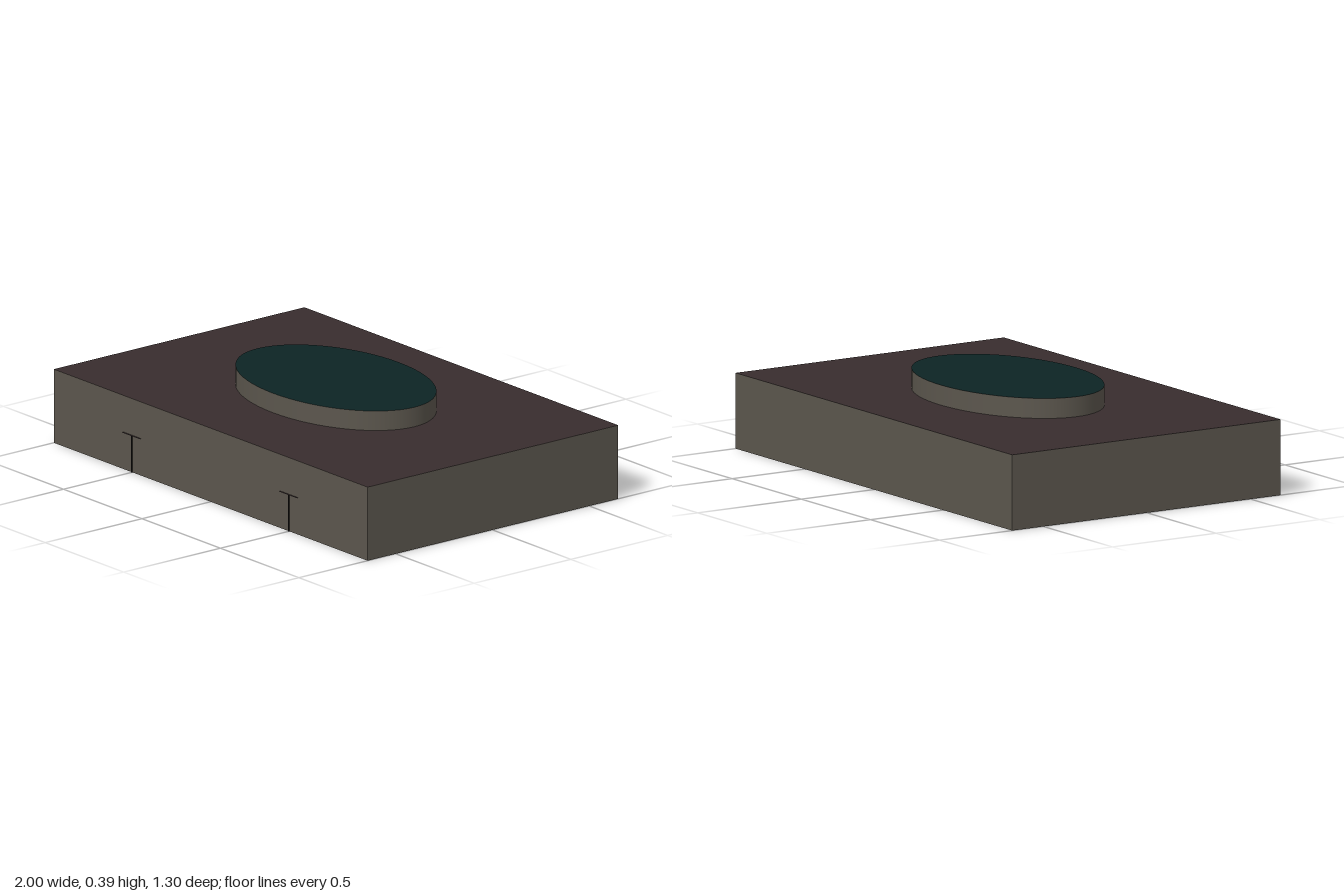
import * as THREE from 'three';

export function createModel() {
  const model = new THREE.Group();
  const wall = new THREE.MeshStandardMaterial({ name: 'wall stone', color: 0x5b564d });
  const roof = new THREE.MeshStandardMaterial({ name: 'roof brown', color: 0x382d2e });
  const glass = new THREE.MeshStandardMaterial({ name: 'dark teal glass', color: 0x0d2424 });
  const trim = new THREE.MeshStandardMaterial({ name: 'dark trim', color: 0x1c1a19 });

  const add = (name, geometry, material, x, y, z) => {
    const mesh = new THREE.Mesh(geometry, material);
    mesh.name = name;
    mesh.position.set(x, y, z);
    model.add(mesh);
    return mesh;
  };

  const height = 0.31, depth = 1.295, centreZ = -0.0025;
  const frontZ = centreZ + depth / 2;

  // Main block: stone sides and underside, brown flat roof
  add('mainBlock', new THREE.BoxGeometry(2, height, depth),
    [wall, wall, roof, wall, wall, wall], 0, height / 2, centreZ);

  // Low oval drum with a glazed top
  const drumHeight = 0.082;
  const drum = new THREE.CylinderGeometry(0.5, 0.5, drumHeight, 64);
  drum.scale(1, 1, 0.65);
  add('ovalSkylight', drum, [wall, glass, wall], 0, height + drumHeight / 2, centreZ);

  // Entrances: a hairline canopy and a centre fin standing just proud of the front
  const proud = 0.005, doorHeight = 0.155;
  for (const x of [-0.5, 0.5]) {
    add('entranceCanopy', new THREE.BoxGeometry(0.11, 0.002, proud), roof,
      x, doorHeight, frontZ + proud / 2);
    add('entranceFin', new THREE.BoxGeometry(0.002, doorHeight, proud), trim,
      x, doorHeight / 2, frontZ + proud / 2);
  }
  return model;
}
